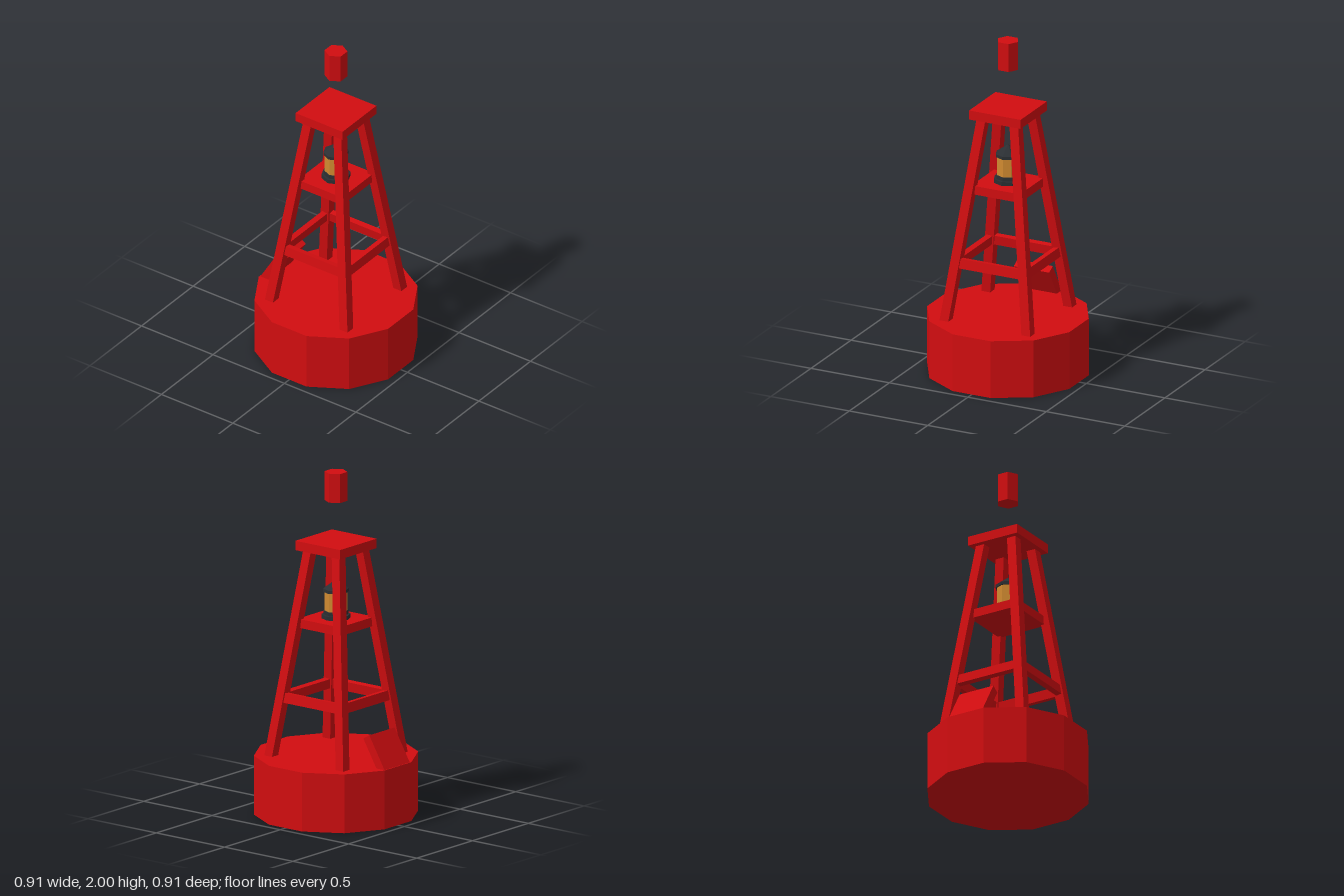
import * as THREE from 'three';

export function createModel() {
  const root = new THREE.Group();
  root.name = 'channelBuoy';

  const paint = (name, color) => {
    const m = new THREE.MeshStandardMaterial({ color });
    m.name = name;
    return m;
  };
  const red = paint('buoyRed', 0xd20d10);
  const dark = paint('lanternIron', 0x2b2f33);
  const amber = paint('amberGlass', 0xd08a30);

  const add = (name, geometry, material, x = 0, y = 0, z = 0, parent = root) => {
    // split the normals so every facet stays flat
    const flat = geometry.index ? geometry.toNonIndexed() : geometry;
    flat.computeVertexNormals();
    const mesh = new THREE.Mesh(flat, material);
    mesh.name = name;
    mesh.position.set(x, y, z);
    parent.add(mesh);
    return mesh;
  };
  // prism or frustum standing between two heights
  const prism = (name, rTop, rBottom, y0, y1, sides, material, turn = 0, parent = root) => {
    const g = new THREE.CylinderGeometry(rTop, rBottom, y1 - y0, sides).rotateY(turn);
    return add(name, g, material, 0, (y0 + y1) / 2, 0, parent);
  };

  // twelve-sided float
  prism('floatHull', 0.469, 0.469, 0, 0.345, 12, red, Math.PI / 12);

  // four legs leaning inwards: boxes sheared towards the axis
  const legY0 = 0.335, legY1 = 1.56, slope = 0.1305, legWidth = 0.056;
  for (const sx of [-1, 1]) for (const sz of [-1, 1]) {
    const g = new THREE.BoxGeometry(legWidth, legY1 - legY0, legWidth);
    g.translate(0, (legY0 + legY1) / 2, 0);
    const p = g.attributes.position;
    for (let i = 0; i < p.count; i++) {
      const c = 0.261 - slope * (p.getY(i) - 0.345);
      p.setX(i, p.getX(i) + sx * c);
      p.setZ(i, p.getZ(i) + sz * c);
    }
    add('towerLeg', g, red);
  }

  // cross bars leaning with the legs
  for (let i = 0; i < 4; i++) {
    const side = new THREE.Group();
    side.name = 'crossBarSide';
    side.rotation.y = i * Math.PI / 2;
    root.add(side);
    const bar = add('crossBar', new THREE.BoxGeometry(0.41, 0.057, 0.035), red, 0, 0.685, 0.216, side);
    bar.rotation.x = -Math.atan(slope);
  }

  // lantern shelf and top plate
  add('lanternShelf', new THREE.BoxGeometry(0.31, 0.052, 0.31), red, 0, 1.116, 0);
  add('topPlate', new THREE.BoxGeometry(0.328, 0.055, 0.328), red, 0, 1.572, 0);

  // eight-sided lantern
  const lantern = new THREE.Group();
  lantern.name = 'lantern';
  root.add(lantern);
  prism('lanternFoot', 0.084, 0.084, 1.142, 1.165, 8, dark, 0, lantern);
  prism('lanternCollar', 0.07, 0.07, 1.165, 1.187, 8, dark, 0, lantern);
  prism('lanternGlass', 0.065, 0.065, 1.187, 1.297, 8, amber, 0, lantern);
  prism('lanternEave', 0.073, 0.073, 1.297, 1.315, 8, dark, 0, lantern);
  add('lanternRoof', new THREE.ConeGeometry(0.073, 0.052, 8), dark, 0, 1.341, 0, lantern);

  // six-sided topmark floating above the tower
  prism('topmark', 0.065, 0.065, 1.83, 2, 6, red, Math.PI / 6);

  // slanted panel at the rear of the deck
  const panel = add('rearPanel', new THREE.BoxGeometry(0.226, 0.217, 0.051), red, 0, 0.425, -0.37);
  panel.rotation.x = 0.54;

  return root;
}
